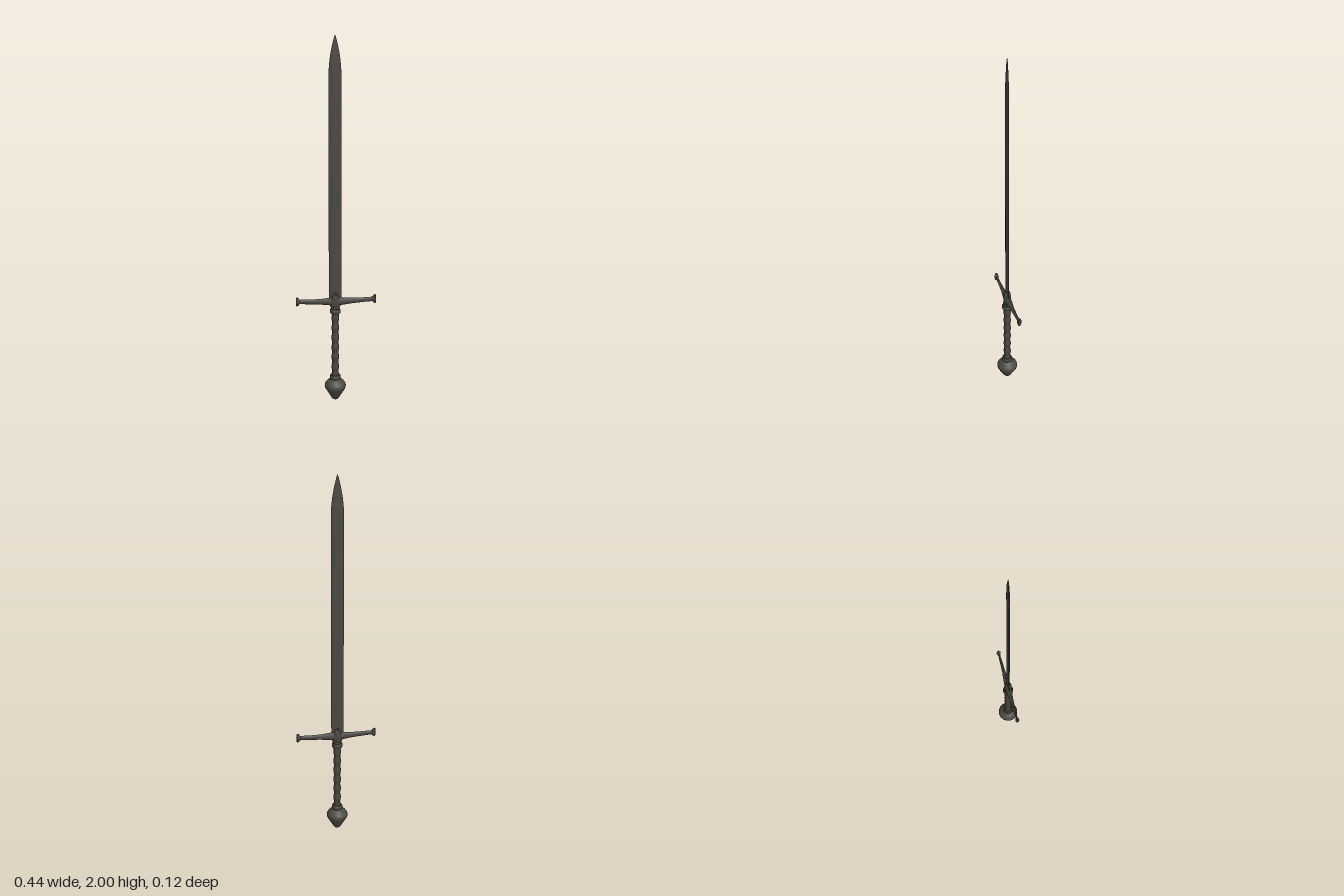
import * as THREE from 'three';
import { toCreasedNormals } from 'three/addons/utils/BufferGeometryUtils.js';

const steel = new THREE.MeshStandardMaterial({ color: 0x4b4843 });
steel.name = 'dark steel';
const leather = new THREE.MeshStandardMaterial({ color: 0x48433e });
leather.name = 'dark leather';

const CX = -0.005; // blade and hilt axis

// Skin a list of equal-length rings (counter-clockwise about the path) and cap both ends
function loft(rings, crease) {
  const n = rings[0].length;
  const index = [];
  for (let r = 0; r < rings.length - 1; r++) {
    for (let i = 0; i < n; i++) {
      const j = (i + 1) % n;
      const a = r * n + i, b = r * n + j;
      index.push(a, b, b + n, a, b + n, a + n);
    }
  }
  const last = (rings.length - 1) * n;
  for (let i = 1; i < n - 1; i++) {
    index.push(0, i + 1, i, last, last + i, last + i + 1);
  }
  const geo = new THREE.BufferGeometry();
  geo.setAttribute('position', new THREE.Float32BufferAttribute(rings.flat(2), 3));
  geo.setIndex(index);
  return toCreasedNormals(geo, crease);
}

function mesh(name, geo, mat) {
  const m = new THREE.Mesh(geo, mat);
  m.name = name;
  return m;
}

// Turned part from [radius, height] pairs
function turned(name, profile, mat, crease = 0.6, sides = 16) {
  const points = profile.map(([r, y]) => new THREE.Vector2(r, y));
  const m = mesh(name, toCreasedNormals(new THREE.LatheGeometry(points, sides), crease), mat);
  m.position.x = CX;
  return m;
}

// Ellipse ring about the y axis
const ovalY = (y, rx, rz, n = 12) => Array.from({ length: n }, (_, i) => {
  const a = (i / n) * Math.PI * 2;
  return [rx * Math.sin(a), y, rz * Math.cos(a)];
});

// Ellipse ring about the x axis
const ovalX = (x, y, ry, rz, n = 10) => Array.from({ length: n }, (_, i) => {
  const a = (i / n) * Math.PI * 2;
  return [x, y + ry * Math.cos(a), rz * Math.sin(a)];
});

export function createModel() {
  const sword = new THREE.Group();
  sword.name = 'sword';

  // Blade: flat hexagonal section, curving in to the point
  const bladeRings = [
    [0.58, 0.034, 0.005], [1.2, 0.034, 0.0045], [1.8, 0.033, 0.004], [1.85, 0.031, 0.004],
    [1.9, 0.025, 0.0035], [1.95, 0.015, 0.003], [1.985, 0.006, 0.002], [2.0, 0.001, 0.0008],
  ].map(([y, w, t]) => [
    [w, y, 0], [w * 0.5, y, -t], [-w * 0.5, y, -t], [-w, y, 0], [-w * 0.5, y, t], [w * 0.5, y, t],
  ]);
  const blade = mesh('blade', loft(bladeRings, 0.15), steel);
  blade.position.x = CX - 0.001;
  sword.add(blade);

  // Crossguard: slender arms swelling to the middle, with flared ends
  const half = [
    [0.012, 0.588, 0.026, 0.018], [0.04, 0.588, 0.021, 0.016], [0.09, 0.589, 0.016, 0.01],
    [0.15, 0.591, 0.0135, 0.0075], [0.2, 0.593, 0.013, 0.006], [0.206, 0.594, 0.022, 0.011],
    [0.214, 0.594, 0.027, 0.012], [0.22, 0.594, 0.022, 0.008],
  ];
  const guardRings = [
    ...half.map(([x, ...s]) => ovalX(-x, ...s)).reverse(),
    ...half.map(([x, ...s]) => ovalX(x, ...s)),
  ];
  sword.add(mesh('crossguard', loft(guardRings, 0.7), steel));

  // Pointed block where the blade enters the guard
  const block = mesh('guardBlock', loft([
    ovalY(0.545, 0.02, 0.018), ovalY(0.565, 0.03, 0.02), ovalY(0.6, 0.026, 0.021),
    ovalY(0.622, 0.016, 0.02), ovalY(0.637, 0.006, 0.015),
  ], 0.7), steel);
  block.position.x = CX;
  sword.add(block);

  // Grip: bound handle with shallow waists between the ridges
  const gripProfile = [];
  const steps = 42, ridges = 7;
  for (let i = 0; i <= steps; i++) {
    const t = i / steps;
    gripProfile.push([0.0195 + 0.0022 * Math.cos(t * ridges * Math.PI * 2), 0.14 + t * 0.41]);
  }
  sword.add(turned('grip', gripProfile, leather, 0.9));

  // Collars at both ends of the grip
  const collar = (name, y) => turned(name, [
    [0.018, y - 0.016], [0.026, y - 0.014], [0.03, y - 0.006], [0.03, y + 0.005],
    [0.026, y + 0.012], [0.018, y + 0.014],
  ], steel);
  sword.add(collar('upperCollar', 0.533), collar('lowerCollar', 0.137));
  sword.add(turned('neck', [[0.018, 0.546], [0.023, 0.55], [0.023, 0.56], [0.018, 0.566]], steel));

  // Pommel: wide shoulder tapering to a blunt foot
  sword.add(turned('pommel', [
    [0, 0], [0.014, 0.001], [0.022, 0.01], [0.03, 0.024], [0.056, 0.068], [0.06, 0.08],
    [0.059, 0.092], [0.052, 0.103], [0.032, 0.123], [0.022, 0.128], [0, 0.128],
  ], steel));

  return sword;
}
